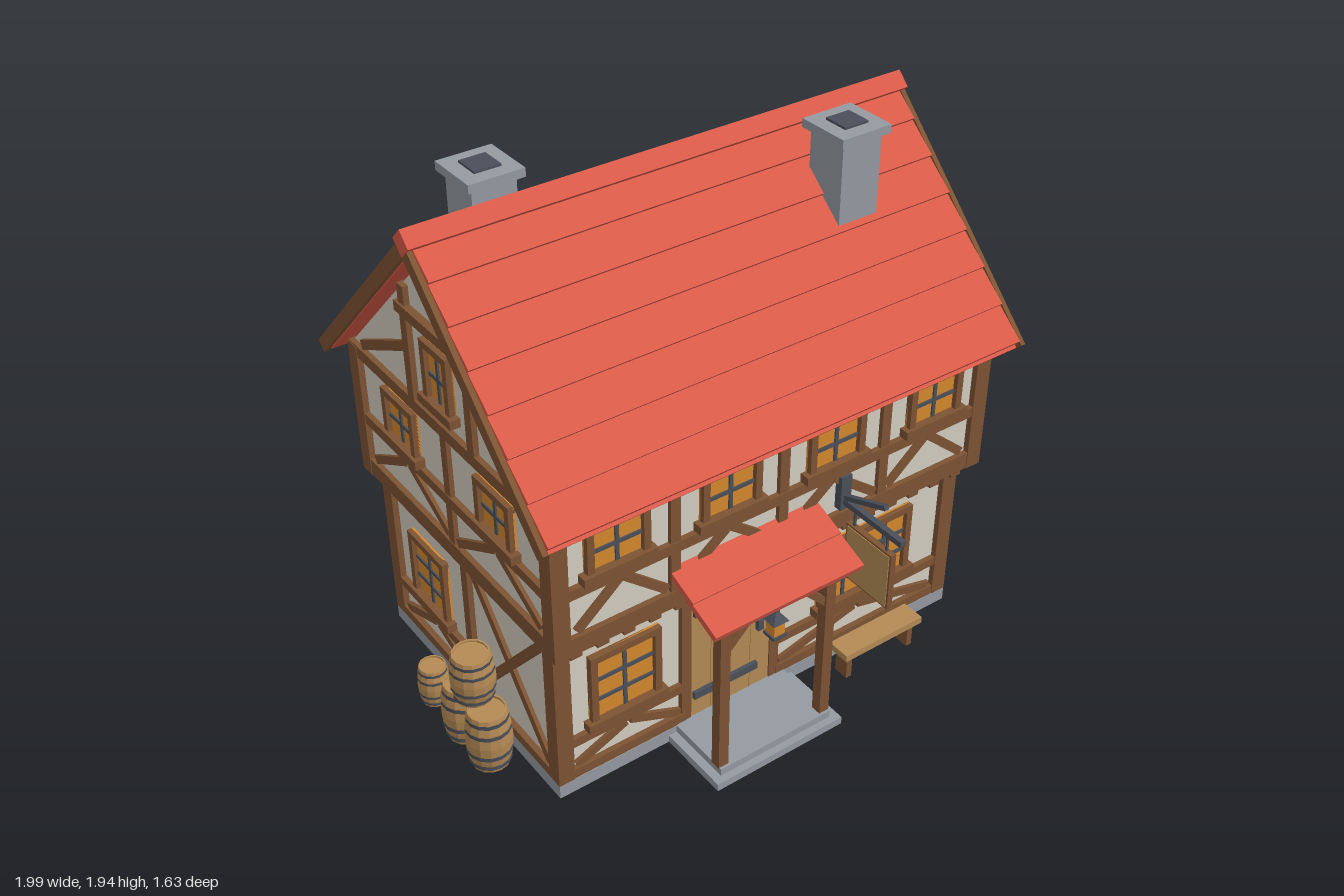
import * as THREE from 'three';

const paint = (name, color) => {
  const m = new THREE.MeshStandardMaterial({ color });
  m.name = name;
  return m;
};
const PLASTER = paint('plaster', 0xd3cdc1), TIMBER = paint('timber', 0x7d5433), PLANK = paint('plank', 0xb48a55),
  TILE = paint('roof tile', 0xd95a48), GLASS = paint('lit glass', 0xd5882e), IRON = paint('iron', 0x4a4f59),
  STONE = paint('stone', 0x959aa1);

const add = (parent, name, geometry, material) => {
  const m = new THREE.Mesh(geometry, material);
  m.name = name;
  parent.add(m);
  return m;
};
const group = (parent, name) => {
  const g = new THREE.Group();
  g.name = name;
  if (parent) parent.add(g);
  return g;
};
// Box given by its extents on each axis
const box = (p, name, mat, x0, x1, y0, y1, z0, z1) => {
  const m = add(p, name, new THREE.BoxGeometry(x1 - x0, y1 - y0, z1 - z0), mat);
  m.position.set((x0 + x1) / 2, (y0 + y1) / 2, (z0 + z1) / 2);
  return m;
};
// Slanted bar in a wall plane
const brace = (p, name, mat, x0, y0, x1, y1, w, z0, z1) => {
  const m = add(p, name, new THREE.BoxGeometry(Math.hypot(x1 - x0, y1 - y0), w, z1 - z0), mat);
  m.position.set((x0 + x1) / 2, (y0 + y1) / 2, (z0 + z1) / 2);
  m.rotation.z = Math.atan2(y1 - y0, x1 - x0);
};
const beam = (f, x0, x1, y0, y1, out = 0) => box(f, 'beam', TIMBER, x0, x1, y0, y1, -0.03, out);
// Pair of braces meeting under the rail
const chevron = (f, x0, x1, y0, y1) => {
  const c = (x0 + x1) / 2;
  brace(f, 'brace', TIMBER, x0, y0, c - 0.01, y1, 0.032, -0.03, -0.006);
  brace(f, 'brace', TIMBER, x1, y0, c + 0.01, y1, 0.032, -0.03, -0.006);
};

function windowUnit(f, x, w, y0, y1, cols, rows) {
  const g = group(f, 'window'), h = w / 2, b = 0.026;
  box(g, 'glass', GLASS, x - h, x + h, y0, y1, -0.02, -0.012);
  for (const s of [-1, 1]) box(g, 'frame', TIMBER, x + s * (h - b / 2) - b / 2, x + s * (h - b / 2) + b / 2, y0, y1, -0.02, 0.006);
  box(g, 'frame', TIMBER, x - h, x + h, y1 - b, y1, -0.02, 0.006);
  box(g, 'sill', TIMBER, x - h - 0.02, x + h + 0.02, y0 - 0.025, y0 + 0.008, -0.02, 0.018);
  const iw = w - 2 * b, ih = y1 - b - y0;
  for (let i = 1; i < cols; i++) {
    const u = x - iw / 2 + (iw * i) / cols;
    box(g, 'glazing bar', IRON, u - 0.007, u + 0.007, y0, y1 - b, -0.018, -0.006);
  }
  for (let i = 1; i < rows; i++) {
    const v = y0 + (ih * i) / rows;
    box(g, 'glazing bar', IRON, x - iw / 2, x + iw / 2, v - 0.007, v + 0.007, -0.018, -0.006);
  }
}

function plankDoor(f, x0, x1, y1, straps, strapX0, strapX1) {
  const g = group(f, 'door'), n = 4, w = (x1 - x0) / n;
  for (let i = 0; i < n; i++) box(g, 'door plank', PLANK, x0 + i * w + 0.001, x0 + (i + 1) * w - 0.001, 0.055, y1, -0.025, -0.006);
  for (const y of straps) box(g, 'hinge strap', IRON, strapX0, strapX1, y - 0.015, y + 0.015, -0.01, 0.008);
  return g;
}

// Wall plane with its own x along the wall and +z outwards
function face(house, name, turn, dist) {
  const holder = group(house, name), f = group(holder, name + 'Timbers');
  holder.rotation.y = turn;
  f.position.z = dist;
  return f;
}

function upperFace(house, name, turn, dist, half, posts, windows, w) {
  const f = face(house, name, turn, dist);
  beam(f, -half, half, 0.67, 0.735);
  beam(f, -half, half, 0.89, 0.93);
  beam(f, -half, half, 1.16, 1.205);
  for (const p of posts) beam(f, p - 0.019, p + 0.019, 0.72, 1.17, -0.003);
  const edges = [-half + 0.06, ...posts, half - 0.06];
  for (let i = 0; i + 1 < edges.length; i++) chevron(f, edges[i] + 0.03, edges[i + 1] - 0.03, 0.75, 0.885);
  for (const x of windows) windowUnit(f, x, w, 0.955, 1.135, 2, 2);
  return f;
}

function lowerFace(house, name, turn, dist, half, bays) {
  const f = face(house, name, turn, dist);
  beam(f, -half, half, 0.635, 0.675);
  for (const [a, b] of bays) {
    beam(f, a, b, 0.195, 0.23);
    beam(f, a, b, 0.055, 0.093);
    chevron(f, a + 0.02, b - 0.02, 0.1, 0.185);
  }
  return f;
}
const post = (f, x) => beam(f, x - 0.02, x + 0.02, 0.055, 0.65, -0.002);

function buildWalls(house) {
  box(house, 'foundation', STONE, -0.857, 0.857, 0, 0.055, -0.56, 0.56);
  box(house, 'lowerWalls', PLASTER, -0.835, 0.835, 0.05, 0.68, -0.5375, 0.5375);
  box(house, 'upperFloor', TIMBER, -0.88, 0.88, 0.671, 0.7, -0.62, 0.62);
  box(house, 'upperWalls', PLASTER, -0.8675, 0.8675, 0.68, 1.2, -0.6075, 0.6075);
  const gable = new THREE.Shape([[-0.63, 1.19], [0.63, 1.19], [0, 1.82]].map(p => new THREE.Vector2(...p)));
  const attic = add(house, 'gableWalls', new THREE.ExtrudeGeometry(gable, { depth: 1.735, bevelEnabled: false }), PLASTER);
  attic.rotation.y = Math.PI / 2;
  attic.position.x = -0.8675;
  for (const sx of [-1, 1]) for (const sz of [-1, 1]) {
    const c = (name, x, z, y0, y1) => box(house, name, TIMBER, sx * x - 0.031, sx * x + 0.031, y0, y1, sz * z - 0.031, sz * z + 0.031);
    c('lowerCornerPost', 0.827, 0.529, 0.055, 0.675);
    c('upperCornerPost', 0.859, 0.599, 0.668, 1.2);
  }
  // Upper storey and gables
  const ends = [];
  for (const s of [0, 1]) {
    upperFace(house, s ? 'upperBack' : 'upperFront', s * Math.PI, 0.6275, 0.8875, [-0.43, 0, 0.43], [-0.645, -0.215, 0.215, 0.645], 0.232);
    const f = upperFace(house, s ? 'upperLeft' : 'upperRight', s ? -Math.PI / 2 : Math.PI / 2, 0.8875, 0.6275, [0], [-0.3, 0.3], 0.212);
    for (const k of [-1, 1]) {
      beam(f, k * 0.1875 - 0.02, k * 0.1875 + 0.02, 1.2, 1.625);
      brace(f, 'gableBrace', TIMBER, k * 0.535, 1.225, k * 0.2, 1.395, 0.035, -0.03, -0.004);
    }
    beam(f, -0.225, 0.225, 1.52, 1.557, 0.008);
    windowUnit(f, 0, 0.165, 1.275, 1.49, 2, 2);
    ends.push(f);
  }
  // Joist ends under the overhang
  for (const s of [-1, 1]) for (let i = 0; i < 17; i++) {
    const x = -0.8 + i * 0.1;
    box(house, 'joistEnd', TIMBER, x - 0.022, x + 0.022, 0.635, 0.672, s < 0 ? -0.61 : 0.53, s < 0 ? -0.53 : 0.61);
  }
  // Ground floor front with main door
  const front = lowerFace(house, 'lowerFront', 0, 0.5575, 0.8575, [[-0.8, -0.34], [0.05, 0.8]]);
  for (const x of [-0.338, 0.04]) post(front, x);
  windowUnit(front, -0.582, 0.277, 0.262, 0.545, 2, 3);
  windowUnit(front, 0.443, 0.417, 0.262, 0.545, 4, 3);
  const main = plankDoor(front, -0.318, 0.02, 0.635, [0.525, 0.155], -0.31, -0.04);
  box(main, 'door handle', IRON, -0.043, -0.02, 0.315, 0.36, -0.01, 0.012);
  // Ground floor back
  const back = lowerFace(house, 'lowerBack', Math.PI, 0.5575, 0.8575, [[-0.8, -0.285], [-0.285, 0.285], [0.285, 0.8]]);
  for (const x of [-0.285, 0.285]) post(back, x);
  for (const x of [-0.55, 0, 0.55]) windowUnit(back, x, 0.26, 0.262, 0.535, 2, 3);
  // Ground floor right with braced side door
  const right = lowerFace(house, 'lowerRight', Math.PI / 2, 0.8575, 0.5575, [[-0.5, -0.0125]]);
  for (const x of [-0.0125, 0.3925]) post(right, x);
  beam(right, -0.033, 0.413, 0.575, 0.615, 0.008);
  beam(right, 0.4, 0.5, 0.055, 0.093);
  windowUnit(right, -0.265, 0.247, 0.262, 0.525, 2, 3);
  const side = plankDoor(right, 0.0085, 0.372, 0.57, [0.505, 0.13], 0.02, 0.345);
  brace(side, 'door brace', TIMBER, 0.03, 0.14, 0.335, 0.485, 0.026, -0.01, 0.002);
  box(side, 'door bar', IRON, 0.02, 0.345, 0.312, 0.322, -0.01, 0.003);
  // Ground floor left with cross braces
  const left = lowerFace(house, 'lowerLeft', -Math.PI / 2, 0.8575, 0.5575, [[-0.5, 0]]);
  post(left, 0);
  beam(left, 0, 0.5, 0.055, 0.093);
  windowUnit(left, -0.265, 0.247, 0.262, 0.525, 2, 3);
  brace(left, 'cross brace', TIMBER, 0.03, 0.1, 0.49, 0.63, 0.036, -0.03, -0.005);
  brace(left, 'cross brace', TIMBER, 0.03, 0.63, 0.49, 0.1, 0.036, -0.03, -0.008);
}

function buildRoof(house) {
  const roof = group(house, 'roof'), q = Math.PI / 4;
  for (const s of [0, 1]) {
    const slope = group(roof, s ? 'backSlope' : 'frontSlope');
    slope.rotation.y = s * Math.PI;
    // Slab lying on the slope, centred at distance u from the ridge
    const slab = (name, mat, x, w, u, y, thick, len, tilt = 0) => {
      const m = add(slope, name, new THREE.BoxGeometry(w, thick, len), mat);
      m.position.set(x, y - u, u);
      m.rotation.x = q - tilt;
    };
    slab('roofDeck', TILE, 0, 1.86, 0.345, 1.85, 0.028, 0.97);
    for (let i = 0; i < 7; i++) slab('tileCourse', TILE, 0, 1.87, 0.05 + i * 0.0985, 1.879, 0.026, 0.148, 0.09);
    for (const x of [-0.948, 0.948]) slab('bargeBoard', TIMBER, x, 0.018, 0.345, 1.862, 0.047, 0.99);
  }
  const cap = add(roof, 'ridgeCap', new THREE.BoxGeometry(1.915, 0.066, 0.066), TILE);
  cap.position.y = 1.875;
  cap.rotation.x = q;
  for (const [x, z] of [[0.54, 0.215], [-0.565, -0.21]]) {
    const c = group(house, 'chimney');
    c.position.set(x, 0, z);
    box(c, 'chimneyStack', STONE, -0.08, 0.08, 1.5, 1.9, -0.08, 0.08);
    box(c, 'chimneyCap', STONE, -0.101, 0.101, 1.897, 1.928, -0.101, 0.101);
    box(c, 'flue', IRON, -0.048, 0.048, 1.92, 1.936, -0.048, 0.048);
  }
}

function buildPorch(root) {
  const p = group(root, 'porch');
  p.position.x = -0.113;
  box(p, 'lowerStep', STONE, -0.268, 0.268, 0, 0.03, 0.45, 0.737);
  box(p, 'upperStep', STONE, -0.235, 0.235, 0.03, 0.058, 0.45, 0.71);
  for (const s of [-1, 1]) {
    const x = s * 0.217;
    box(p, 'porchPost', TIMBER, x - 0.02, x + 0.02, 0.055, 0.66, 0.66, 0.7);
    box(p, 'porchSideBeam', TIMBER, x - 0.018, x + 0.018, 0.65, 0.69, 0.44, 0.7);
    brace(p, 'porchBrace', TIMBER, s * 0.21, 0.55, s * 0.11, 0.65, 0.026, 0.668, 0.692);
  }
  box(p, 'porchBeam', TIMBER, -0.25, 0.25, 0.645, 0.685, 0.658, 0.702);
  for (let i = 0; i < 2; i++) {
    const m = add(p, 'porchTiles', new THREE.BoxGeometry(0.6, 0.026, 0.155), TILE);
    m.position.set(0, 0.785 - i * 0.055, 0.56 + i * 0.12);
    m.rotation.x = 0.38;
  }
  // Hanging lantern
  const l = group(p, 'lantern');
  l.position.z = 0.68;
  box(l, 'lanternHook', IRON, -0.004, 0.004, 0.605, 0.65, -0.004, 0.004);
  const hood = add(l, 'lanternHood', new THREE.ConeGeometry(0.045, 0.035, 4, 1, false, Math.PI / 4).toNonIndexed(), IRON);
  hood.geometry.computeVertexNormals();
  hood.position.y = 0.598;
  box(l, 'lanternGlass', GLASS, -0.022, 0.022, 0.525, 0.582, -0.022, 0.022);
  box(l, 'lanternBase', IRON, -0.028, 0.028, 0.515, 0.527, -0.028, 0.028);
}

function buildYard(root) {
  // Hanging sign on its iron arm
  const sign = group(root, 'hangingSign');
  sign.position.x = 0.292;
  box(sign, 'wallPlate', IRON, -0.022, 0.022, 0.755, 0.89, 0.505, 0.535);
  box(sign, 'signArm', IRON, -0.011, 0.011, 0.778, 0.8, 0.51, 0.82);
  const stay = add(sign, 'signStay', new THREE.BoxGeometry(0.018, 0.018, 0.225), IRON);
  stay.position.set(0, 0.84, 0.625);
  stay.rotation.x = -0.38;
  for (const z of [0.587, 0.747]) box(sign, 'signHanger', IRON, -0.004, 0.004, 0.71, 0.78, z - 0.004, z + 0.004);
  box(sign, 'signFrame', TIMBER, -0.011, 0.011, 0.49, 0.717, 0.558, 0.782);
  box(sign, 'signBoard', PLANK, -0.014, 0.014, 0.498, 0.709, 0.566, 0.774);
  // Bench
  const bench = group(root, 'bench');
  box(bench, 'benchSeat', PLANK, 0.295, 0.652, 0.1, 0.127, 0.5, 0.592);
  for (const x of [0.327, 0.615]) box(bench, 'benchLeg', TIMBER, x - 0.012, x + 0.012, 0, 0.102, 0.515, 0.575);
  // Barrels
  const barrel = (x, y, z, r, h) => {
    const b = group(root, 'barrel');
    b.position.set(x, y, z);
    const pts = [[0, 0], [0.82, 0], [0.95, 0.25], [1, 0.5], [0.95, 0.75], [0.82, 1], [0.74, 1], [0.74, 0.96], [0, 0.96]];
    const body = add(b, 'barrelStaves', new THREE.LatheGeometry(pts.map(p => new THREE.Vector2(p[0] * r, p[1] * h)), 14).toNonIndexed(), PLANK);
    body.geometry.computeVertexNormals();
    for (const t of [0.1, 0.3, 0.7, 0.9]) {
      const k = r * (t === 0.1 || t === 0.9 ? 0.9 : 0.98);
      add(b, 'barrelHoop', new THREE.CylinderGeometry(k, k, h * 0.07, 14, 1, true), IRON).position.y = t * h;
    }
  };
  barrel(-0.915, 0, 0.005, 0.083, 0.235);
  barrel(-0.915, 0, 0.165, 0.083, 0.235);
  barrel(-0.915, 0.235, 0.085, 0.08, 0.19);
  barrel(-0.925, 0, -0.2, 0.058, 0.16);
}

export function createModel() {
  const root = group(null, 'timberFramedInn');
  const house = group(root, 'house');
  house.position.set(0.035, 0, -0.1025);
  buildWalls(house);
  buildRoof(house);
  buildPorch(root);
  buildYard(root);
  return root;
}
